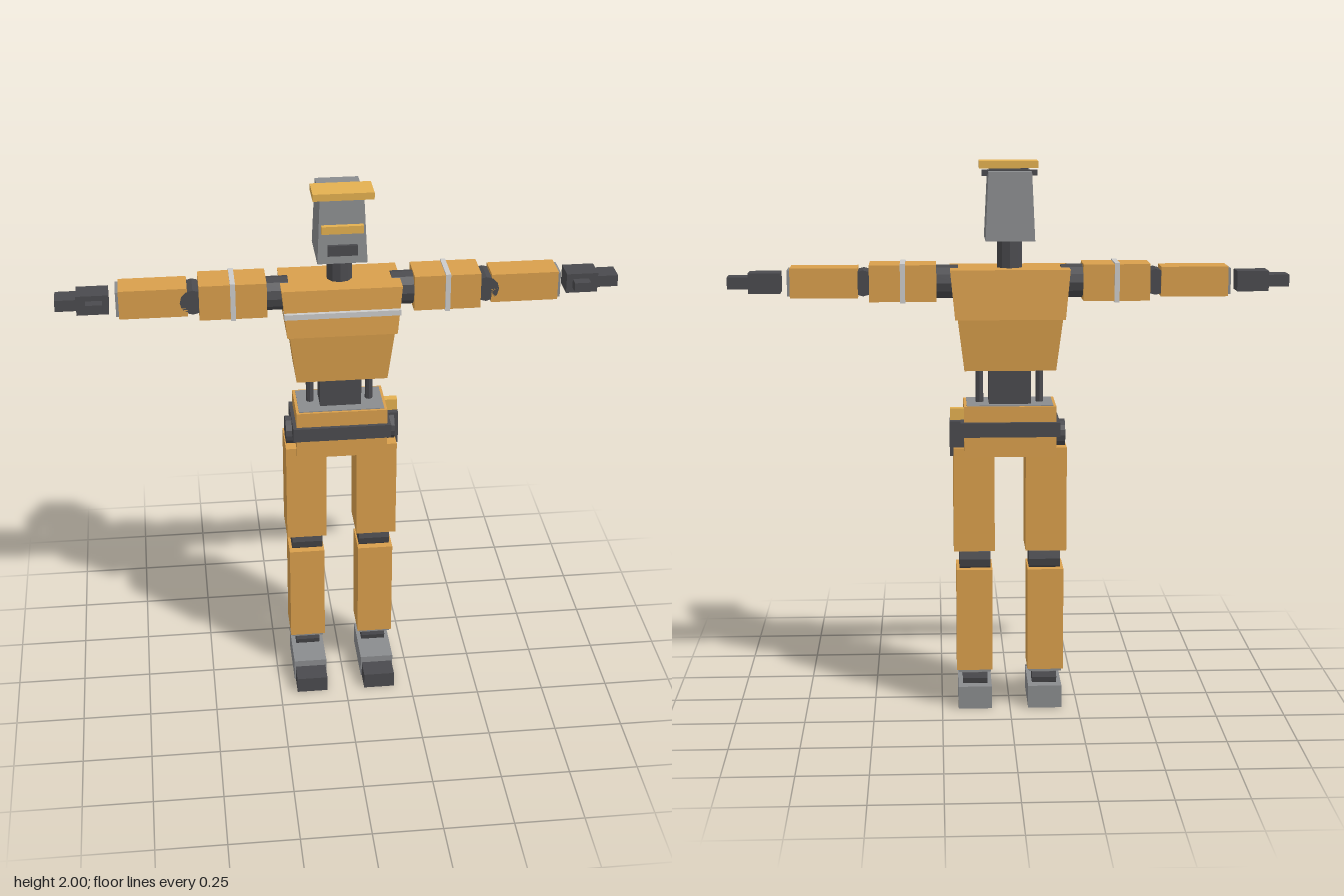
import * as THREE from 'three';

const mat = (color) => new THREE.MeshStandardMaterial({ color, flatShading: true });
const orange = mat(0xd99f4c), yellow = mat(0xe3b050), dark = mat(0x4a4a4e);
const grey = mat(0x8a8c8e), silver = mat(0xcccccc);
const CZ = -0.06; // depth of the body's centre line

export function createModel() {
  const model = new THREE.Group();

  const add = (parent, name, geometry, material) => {
    const mesh = new THREE.Mesh(geometry, material);
    mesh.name = name;
    parent.add(mesh);
    return mesh;
  };
  const group = (name) => {
    const g = new THREE.Group();
    g.name = name;
    model.add(g);
    return g;
  };
  // box given by its limits on each axis
  const box = (parent, name, material, [x0, x1], [y0, y1], [z0, z1]) => {
    const geo = new THREE.BoxGeometry(Math.abs(x1 - x0), y1 - y0, z1 - z0);
    geo.translate((x0 + x1) / 2, (y0 + y1) / 2, (z0 + z1) / 2);
    return add(parent, name, geo, material);
  };
  // box whose top and bottom differ: each end is [half width, back z, front z]
  const taper = (parent, name, material, y0, y1, bottom, top) => {
    const geo = new THREE.BoxGeometry(2, 2, 2), p = geo.attributes.position;
    for (let i = 0; i < p.count; i++) {
      const [w, back, front] = p.getY(i) > 0 ? top : bottom;
      p.setXYZ(i, p.getX(i) * w, p.getY(i) > 0 ? y1 : y0, p.getZ(i) > 0 ? front : back);
    }
    geo.computeVertexNormals();
    return add(parent, name, geo, material);
  };
  const rod = (parent, name, material, axis, r, length, x, y, z, sides = 12) => {
    const geo = new THREE.CylinderGeometry(r, r, length, sides);
    if (axis === 'x') geo.rotateZ(Math.PI / 2);
    if (axis === 'z') geo.rotateX(Math.PI / 2);
    geo.translate(x, y, z);
    return add(parent, name, geo, material);
  };

  // head and neck
  const head = group('head');
  taper(head, 'skull', grey, 1.73, 1.97, [0.087, -0.155, 0.05], [0.076, -0.145, 0.033]);
  box(head, 'brim', yellow, [-0.105, 0.105], [1.975, 2], [-0.02, 0.085]);
  box(head, 'brimMount', dark, [-0.07, 0.07], [1.965, 1.976], [-0.015, 0.03]);
  box(head, 'templeBar', dark, [-0.098, 0.098], [1.953, 1.973], [-0.08, -0.05]);
  box(head, 'visor', yellow, [-0.073, 0.073], [1.842, 1.87], [0.03, 0.058]);
  box(head, 'mouth', dark, [-0.052, 0.052], [1.76, 1.798], [0.03, 0.057]);
  rod(head, 'neck', dark, 'y', 0.046, 0.14, 0, 1.67, CZ, 10);

  // torso
  const torso = group('torso');
  taper(torso, 'chest', orange, 1.455, 1.63, [0.195, -0.172, 0.06], [0.212, -0.16, 0.048]);
  taper(torso, 'ribs', orange, 1.27, 1.455, [0.163, -0.15, 0.04], [0.186, -0.163, 0.052]);
  box(torso, 'chestStripe', silver, [-0.205, 0.205], [1.53, 1.55], [0.03, 0.068]);
  box(torso, 'waist', dark, [-0.075, 0.075], [1.13, 1.28], [-0.11, -0.01]);

  // pelvis and belt
  const pelvis = group('pelvis');
  box(pelvis, 'pelvisBlock', orange, [-0.165, 0.165], [0.957, 1.14], [-0.15, 0.038]);
  box(pelvis, 'pelvisTopPlate', grey, [-0.155, 0.155], [1.13, 1.143], [-0.14, 0.028]);
  box(pelvis, 'belt', dark, [-0.178, 0.178], [1.032, 1.084], [-0.167, 0.052]);
  box(pelvis, 'holster', dark, [0.165, 0.216], [0.957, 1.082], [-0.122, -0.043]);
  box(pelvis, 'holsterGrip', yellow, [0.157, 0.215], [1.082, 1.125], [-0.095, -0.065]);

  for (const s of [1, -1]) {
    const side = s > 0 ? 'left' : 'right';
    const span = (a, b) => [s * a, s * b];
    rod(torso, side + 'WaistRod', dark, 'y', 0.014, 0.15, s * 0.108, 1.205, CZ, 8);

    // leg
    const leg = group(side + 'Leg');
    rod(leg, 'hipJoint', dark, 'x', 0.052, 0.1, s * 0.15, 1.025, CZ, 16);
    box(leg, 'thigh', orange, span(0.056, 0.204), [0.605, 0.987], [-0.14, 0.02]);
    rod(leg, 'kneeJoint', dark, 'x', 0.056, 0.114, s * 0.127, 0.567, CZ);
    box(leg, 'shin', orange, span(0.064, 0.195), [0.15, 0.532], [-0.132, 0.01]);
    box(leg, 'shinCuff', grey, span(0.07, 0.189), [0.14, 0.15], [-0.126, 0.004]);
    rod(leg, 'ankleJoint', dark, 'x', 0.041, 0.09, s * 0.128, 0.107, CZ);
    box(leg, 'foot', grey, span(0.067, 0.19), [0, 0.085], [-0.133, 0.094]);
    box(leg, 'toe', dark, span(0.071, 0.186), [0, 0.06], [0.094, 0.175]);

    // arm, held straight out
    const arm = group(side + 'Arm');
    rod(arm, 'shoulderJoint', dark, 'x', 0.06, 0.085, s * 0.225, 1.58, CZ, 12);
    box(arm, 'upperArm', orange, span(0.26, 0.497), [1.515, 1.645], [-0.127, 0.004]);
    box(arm, 'armBand', silver, span(0.37, 0.388), [1.51, 1.65], [-0.132, 0.009]);
    rod(arm, 'elbowJoint', dark, 'z', 0.046, 0.104, s * 0.518, 1.58, CZ);
    box(arm, 'forearm', orange, span(0.537, 0.776), [1.528, 1.634], [-0.117, -0.008]);
    box(arm, 'wristCuff', grey, span(0.776, 0.786), [1.535, 1.627], [-0.11, -0.015]);
    box(arm, 'palm', dark, span(0.81, 0.923), [1.544, 1.616], [-0.107, -0.022]);
    box(arm, 'fingers', dark, span(0.923, 0.997), [1.56, 1.602], [-0.102, -0.026]);
    box(arm, 'thumb', dark, span(0.832, 0.89), [1.565, 1.597], [-0.022, 0.015]);
  }
  return model;
}
